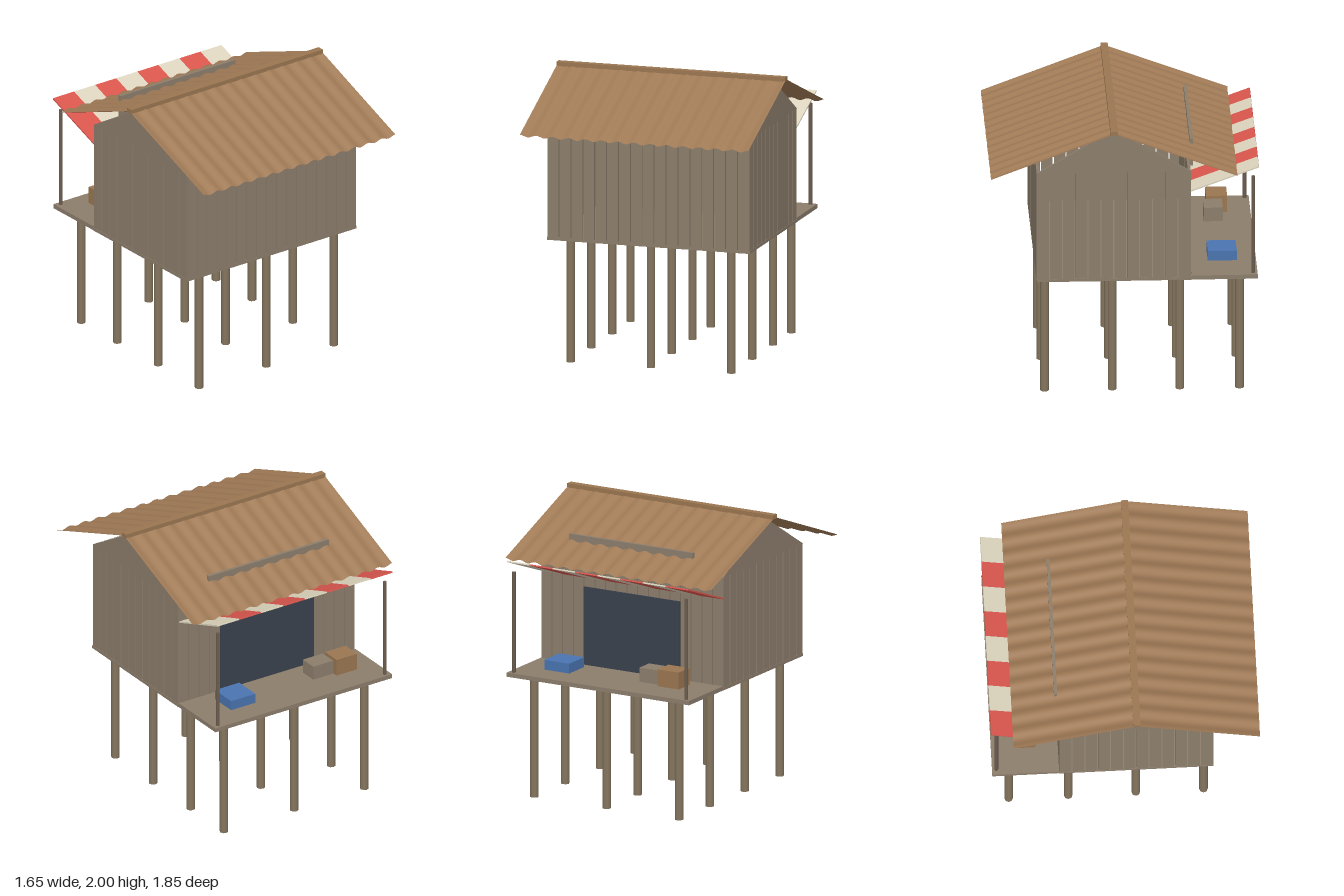
import * as THREE from 'three';

const mat = (name, color, extra = {}) => {
  const m = new THREE.MeshStandardMaterial({ color, ...extra });
  m.name = name;
  return m;
};

export function createModel() {
  const wood = mat('weatheredWood', 0x8b7d6b);
  const stiltWood = mat('stiltWood', 0x85765f);
  const postWood = mat('darkPostWood', 0x6b5d4e);
  const roofing = mat('rustyRoofing', 0xa07a56, { side: THREE.DoubleSide });
  const crateWood = mat('crateWood', 0x9a7650);
  const red = mat('awningRed', 0xd9564d);
  const cream = mat('awningCream', 0xdcd4bd);
  const blue = mat('coolerBlue', 0x4a74b0);
  const dark = mat('doorwayDark', 0x3a414d);

  const model = new THREE.Group();
  const group = (name) => {
    const g = new THREE.Group();
    g.name = name;
    model.add(g);
    return g;
  };
  const add = (name, geometry, material, x, y, z, parent = model) => {
    const m = new THREE.Mesh(geometry, material);
    m.name = name;
    m.position.set(x, y, z);
    parent.add(m);
    return m;
  };
  const box = (name, material, w, h, d, x, y, z, parent) =>
    add(name, new THREE.BoxGeometry(w, h, d), material, x, y, z, parent);

  // Stilts, four rows of three
  const stilts = group('stilts');
  const stiltGeo = new THREE.CylinderGeometry(0.03, 0.03, 0.86, 8);
  for (const z of [0.545, 0.08, -0.385, -0.795])
    for (const x of [-0.58, 0, 0.58]) add('stilt', stiltGeo, stiltWood, x, 0.43, z, stilts);

  // Floor and rear deck
  box('floor', wood, 1.465, 0.02, 1.065, 0, 0.87, 0.0725);
  box('deck', wood, 1.46, 0.03, 0.455, 0, 0.875, -0.6875);

  // Plank walls with narrow gaps
  const walls = group('plankWalls');
  const gap = 0.008, midZ = 0.075, wallH = 0.78, wallY = 1.27;
  const pitchX = 1.46 / 17, pitchZ = 1.06 / 12;
  for (let i = 0; i < 17; i++) {
    const x = (i - 8) * pitchX;
    for (const z of [0.595, -0.445])
      box('wallPlank', wood, pitchX - gap, wallH, 0.02, x, wallY, z, walls);
  }
  for (let i = 0; i < 12; i++) {
    const z = midZ + (i - 5.5) * pitchZ;
    for (const x of [-0.72, 0.72])
      box('sidePlank', wood, 0.02, wallH, pitchZ - gap, x, wallY, z, walls);
  }

  // Gable triangles closing the two ends
  const tri = new THREE.Shape([
    new THREE.Vector2(-0.53, 1.66), new THREE.Vector2(0.53, 1.66), new THREE.Vector2(0, 1.975),
  ]);
  const gableGeo = new THREE.ExtrudeGeometry(tri, { depth: 0.02, bevelEnabled: false });
  gableGeo.translate(0, 0, -0.01).rotateY(Math.PI / 2);
  for (const x of [-0.72, 0.72]) add('gable', gableGeo, wood, x, 0, midZ);

  // Corrugated roof sheets, rippled along x
  const roofSheet = (zEave) => {
    const ridgeZ = 0.075, ridgeY = 1.975, eaveY = 1.653, waves = 14, width = 1.65;
    const g = new THREE.PlaneGeometry(width, 1, waves * 8, 1);
    const p = g.attributes.position;
    for (let i = 0; i < p.count; i++) {
      const x = p.getX(i), t = p.getY(i) + 0.5;
      const ripple = 0.008 * Math.cos((x / width + 0.5) * waves * Math.PI * 2);
      // keep each sheet's outer face upward
      const sx = zEave > ridgeZ ? x : -x;
      p.setXYZ(i, sx, eaveY + (ridgeY - eaveY) * t + ripple, zEave + (ridgeZ - zEave) * t);
    }
    g.computeVertexNormals();
    return g;
  };
  add('frontRoofSheet', roofSheet(0.922), roofing, 0, 0, 0);
  add('rearRoofSheet', roofSheet(-0.773), roofing, 0, 0, 0);
  box('ridgeCap', crateWood, 1.65, 0.03, 0.05, 0, 1.985, 0.075);

  // Rear doorway and the board above it
  box('doorway', dark, 0.77, 0.56, 0.009, 0, 1.165, -0.4595);
  box('roofBoard', wood, 0.99, 0.2, 0.022, -0.003, 1.71, -0.468);

  // Striped awning rising outward over the deck
  const awning = group('awning');
  awning.position.set(0, 1.597, -0.686);
  awning.rotation.x = Math.atan2(0.172, 0.47);
  const stripe = 1.45 / 8;
  for (let i = 0; i < 8; i++)
    box('awningStripe', i % 2 ? cream : red, stripe, 0.01, 0.505, (i - 3.5) * stripe - 0.003, 0, 0, awning);

  // Deck posts
  const postGeo = new THREE.CylinderGeometry(0.013, 0.013, 0.72, 8);
  for (const x of [-0.69, 0.69]) add('deckPost', postGeo, postWood, x, 1.245, -0.885);

  // Goods on the deck
  box('cooler', blue, 0.2, 0.07, 0.2, 0.41, 0.945, -0.68);
  box('tallCrate', crateWood, 0.17, 0.12, 0.145, -0.465, 0.97, -0.68);
  box('lowCrate', wood, 0.165, 0.1, 0.13, -0.295, 0.96, -0.65);

  return model;
}
